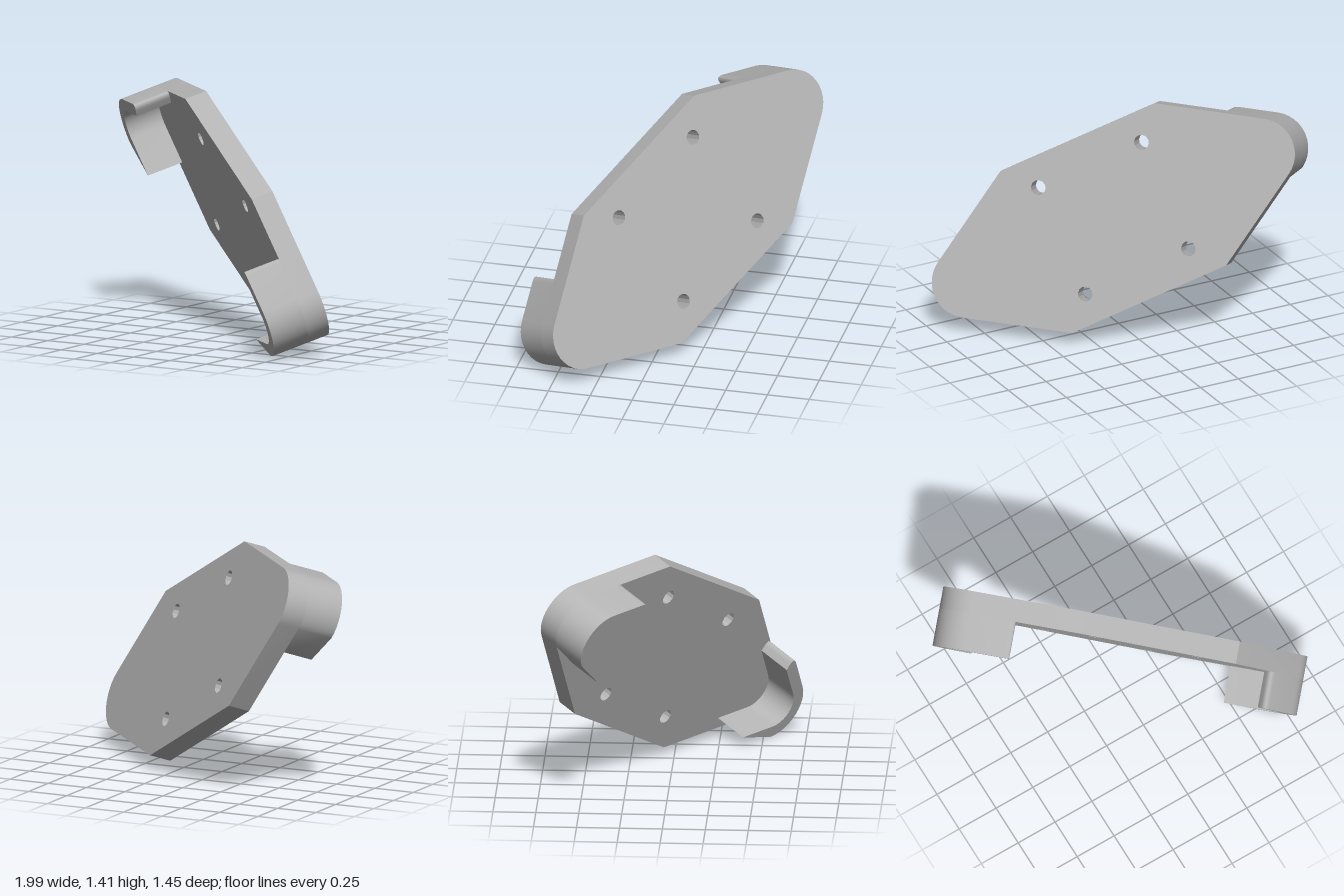
import * as THREE from 'three';
import { toCreasedNormals } from 'three/addons/utils/BufferGeometryUtils.js';

const HALF_LENGTH = 0.505; // half of the straight long edge
const HALF_WIDTH = 0.515;
const THICKNESS = 0.132;
const DEPTH = 0.35; // back of plate to rim of the hooks
const WALL = 0.075;
const TIP_RADIUS = 0.205;
const TAPER = 1.03; // direction of the tapered edge's normal
const HOOK_END = 0.825;

const NX = Math.cos(TAPER), NY = Math.sin(TAPER);
const OFFSET = NX * HALF_LENGTH + NY * HALF_WIDTH;
const TIP_CENTRE = (OFFSET - TIP_RADIUS) / NX;

// Height of the tapered edge at a given distance along the plate, moved in by inset
const edgeY = (x, inset) => (OFFSET - inset - NX * x) / NY;

function extrude(shape, from, to) {
  const geometry = new THREE.ExtrudeGeometry(shape, { depth: to - from, bevelEnabled: false, curveSegments: 6 });
  geometry.translate(0, 0, from);
  return toCreasedNormals(geometry, 0.48);
}

// Elongated plate with rounded tips and four screw holes
function plateShape() {
  const s = new THREE.Shape();
  s.moveTo(-HALF_LENGTH, -HALF_WIDTH);
  s.lineTo(HALF_LENGTH, -HALF_WIDTH);
  s.absarc(TIP_CENTRE, 0, TIP_RADIUS, -TAPER, TAPER, false);
  s.lineTo(HALF_LENGTH, HALF_WIDTH);
  s.lineTo(-HALF_LENGTH, HALF_WIDTH);
  s.absarc(-TIP_CENTRE, 0, TIP_RADIUS, Math.PI - TAPER, Math.PI + TAPER, false);
  s.closePath();
  for (const x of [-0.338, 0.338]) {
    for (const y of [-0.338, 0.338]) {
      s.holes.push(new THREE.Path().absarc(x, y, 0.044, 0, Math.PI * 2, true));
    }
  }
  return s;
}

// Wall that wraps around one tip; side is +1 or -1
function hookShape(side) {
  const s = new THREE.Shape();
  const arc = (radius, up) => {
    const base = side > 0 ? 0 : Math.PI;
    const a = side * TAPER * (up ? 1 : -1);
    s.absarc(side * TIP_CENTRE, 0, radius, base - a, base + a, up ? side < 0 : side > 0);
  };
  const outer = edgeY(HOOK_END, 0), inner = edgeY(HOOK_END, WALL);
  s.moveTo(side * HOOK_END, -outer);
  arc(TIP_RADIUS, true);
  // upper end has an eased outer corner
  s.lineTo(side * (HOOK_END + 0.045), edgeY(HOOK_END + 0.045, 0));
  s.quadraticCurveTo(side * HOOK_END, outer, side * HOOK_END, outer - 0.05);
  s.lineTo(side * HOOK_END, inner);
  arc(TIP_RADIUS - WALL, false);
  s.lineTo(side * HOOK_END, -inner);
  s.closePath();
  return s;
}

export function createModel() {
  const model = new THREE.Group();
  model.name = 'hookedPlate';
  const grey = new THREE.MeshStandardMaterial({ color: 0xb4b4b4 });
  grey.name = 'grey';

  const bracket = new THREE.Group();
  bracket.name = 'bracket';
  const add = (name, geometry) => {
    const mesh = new THREE.Mesh(geometry, grey);
    mesh.name = name;
    bracket.add(mesh);
  };
  add('plate', extrude(plateShape(), 0, THICKNESS));
  add('leftHook', extrude(hookShape(1), THICKNESS, DEPTH));
  add('rightHook', extrude(hookShape(-1), THICKNESS, DEPTH));

  // Tilt of the whole bracket: length, width and hook directions
  const along = new THREE.Vector3(0.752, -0.457, 0.472).normalize();
  const forward = new THREE.Vector3(-0.635, -0.317, 0.705);
  const across = forward.clone().cross(along).normalize();
  forward.crossVectors(along, across);
  bracket.quaternion.setFromRotationMatrix(new THREE.Matrix4().makeBasis(along, across, forward));
  bracket.position.set(0.1, 0.765, -0.12);
  model.add(bracket);
  return model;
}
